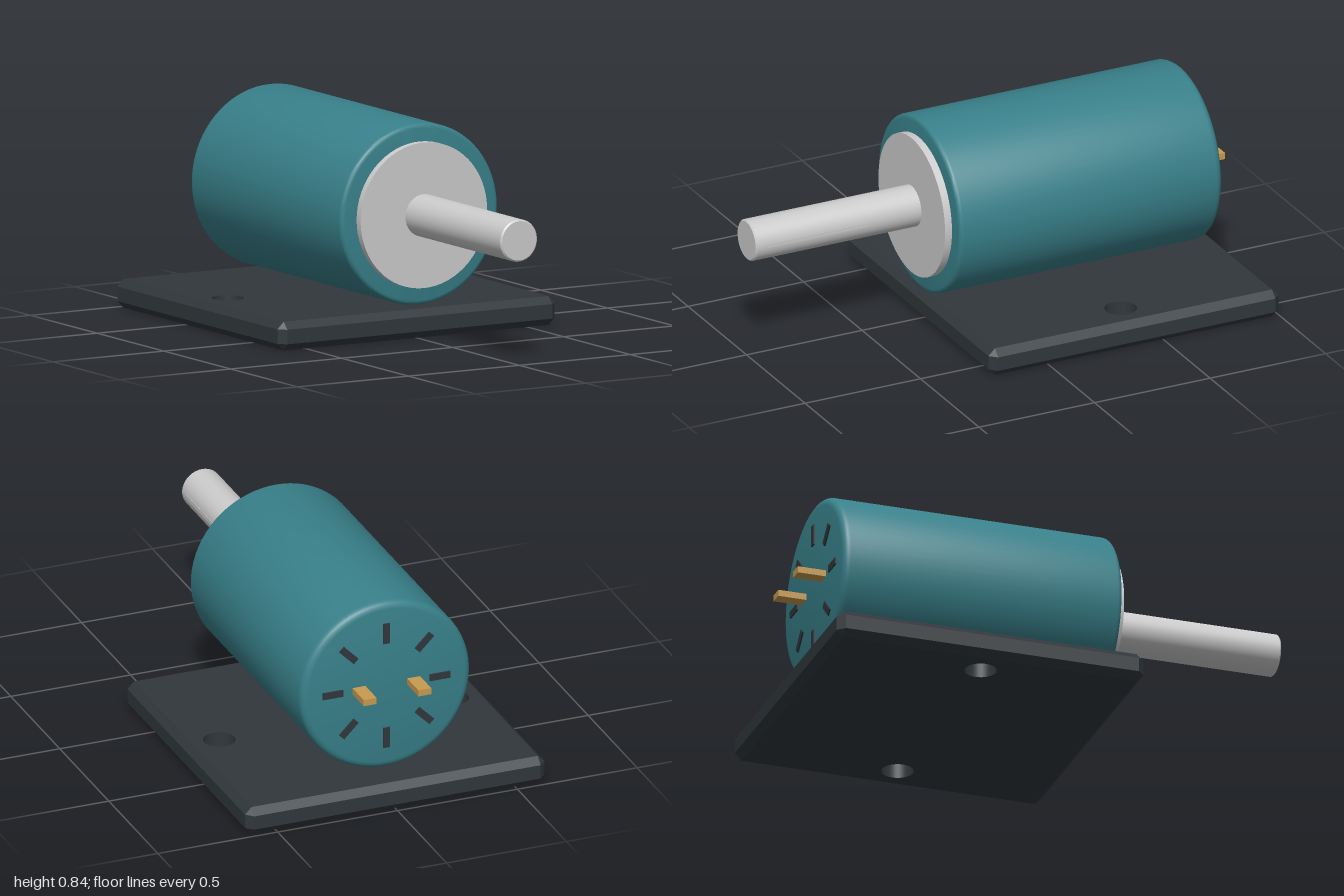
import * as THREE from 'three';
import { toCreasedNormals } from 'three/addons/utils/BufferGeometryUtils.js';

const AXIS_Y = 0.487, BACK = -0.885, FRONT = 0.255;
const material = (color, extra = {}) => new THREE.MeshStandardMaterial({ color, ...extra });

function add(parent, name, geometry, mat, x = 0, y = 0, z = 0) {
  const mesh = new THREE.Mesh(geometry, mat);
  mesh.name = name;
  mesh.position.set(x, y, z);
  parent.add(mesh);
  return mesh;
}

// Solid of revolution along z from [radius, z] points
function turned(points, segments = 64) {
  const profile = points.map(([r, z]) => new THREE.Vector2(r, z));
  const geometry = new THREE.LatheGeometry(profile, segments).rotateX(Math.PI / 2);
  return toCreasedNormals(geometry, 0.5);
}

// Quarter-round edge: a and b are the start and end angles in degrees
function roundEdge(r, z, radius, a, b) {
  return Array.from({ length: 5 }, (_, i) => {
    const t = THREE.MathUtils.degToRad(a + (b - a) * i / 4);
    return [r + radius * Math.cos(t), z + radius * Math.sin(t)];
  });
}

// Side wall of a bevelled plate, lofted through four eight-sided outlines
function plateWall(w, d, h, bevel) {
  const levels = [[bevel, 0], [0, bevel], [0, h - bevel], [bevel, h]];
  const signs = [[1, 1], [1, -1], [-1, -1], [-1, 1]];
  const positions = [], index = [];
  for (const [inset, y] of levels) {
    signs.forEach(([sx, sz], i) => {
      const onSide = [sx * (w - inset), y, sz * (d - bevel)];
      const onEnd = [sx * (w - bevel), y, sz * (d - inset)];
      positions.push(...(i % 2 ? [...onSide, ...onEnd] : [...onEnd, ...onSide]));
    });
  }
  for (let l = 0; l < 3; l++) {
    for (let i = 0; i < 8; i++) {
      const a = l * 8 + i, b = l * 8 + (i + 1) % 8;
      index.push(a, b, b + 8, a, b + 8, a + 8);
    }
  }
  const geometry = new THREE.BufferGeometry();
  geometry.setAttribute('position', new THREE.Float32BufferAttribute(positions, 3));
  geometry.setIndex(index);
  geometry.computeVertexNormals();
  return geometry;
}

function createBase(mat) {
  const base = new THREE.Group();
  base.name = 'basePlate';
  const w = 0.625, d = 0.6275, h = 0.113, bevel = 0.028, holeX = 0.487, holeR = 0.063;
  add(base, 'plateEdge', plateWall(w, d, h, bevel), mat);

  // Top and bottom faces with the two mounting holes
  const x = w - bevel, z = d - bevel;
  const face = new THREE.Shape();
  face.moveTo(-x, -z).lineTo(x, -z).lineTo(x, z).lineTo(-x, z).closePath();
  for (const side of [-1, 1]) {
    face.holes.push(new THREE.Path().absarc(side * holeX, 0, holeR, 0, Math.PI * 2, true));
  }
  const faceGeometry = new THREE.ShapeGeometry(face, 16);
  add(base, 'plateTop', faceGeometry, mat, 0, h).rotation.x = -Math.PI / 2;
  add(base, 'plateBottom', faceGeometry, mat).rotation.x = Math.PI / 2;

  // Hole linings
  const lining = new THREE.CylinderGeometry(holeR, holeR, h, 32, 1, true);
  const inside = material(mat.color, { side: THREE.BackSide });
  for (const side of [-1, 1]) add(base, 'mountingHole', lining, inside, side * holeX, h / 2);

  base.position.z = -0.3725;
  return base;
}

export function createModel() {
  const model = new THREE.Group();
  model.name = 'electricMotor';
  const teal = material(0x38808a);
  const dark = material(0x30373b, { flatShading: true });
  const grey = material(0xcccccc);
  const brass = material(0xc89b50);

  model.add(createBase(dark));

  const motor = new THREE.Group();
  motor.name = 'motor';
  motor.position.y = AXIS_Y;
  model.add(motor);

  // Housing with rounded rims
  add(motor, 'housing', turned([
    [0, BACK],
    ...roundEdge(0.325, BACK + 0.03, 0.03, -90, 0),
    ...roundEdge(0.337, FRONT - 0.018, 0.018, 0, 90),
    [0, FRONT],
  ], 72), teal);

  // Front boss and output shaft
  add(motor, 'frontBoss', turned([[0, FRONT - 0.01], [0.285, FRONT - 0.01], [0.285, 0.285], [0, 0.285]]), grey);
  add(motor, 'shaft', turned([
    [0, 0.27], [0.083, 0.27], [0.083, 0.994], [0.077, 1], [0, 1],
  ], 48), grey);
  add(motor, 'shaftKey', new THREE.BoxGeometry(0.02, 0.016, 0.43), grey, 0.0745, 0, 0.735);

  // Ring of cooling slots on the back face
  for (let i = 0; i < 8; i++) {
    const angle = i * Math.PI / 4;
    const slot = add(motor, 'coolingSlot', new THREE.BoxGeometry(0.085, 0.028, 0.012), dark,
      0.223 * Math.cos(angle), 0.223 * Math.sin(angle), BACK);
    slot.rotation.z = angle;
  }

  // Power terminals
  for (const side of [-1, 1]) {
    add(motor, 'terminal', new THREE.BoxGeometry(0.054, 0.026, 0.13), brass, side * 0.114, 0, -0.935);
  }

  return model;
}
